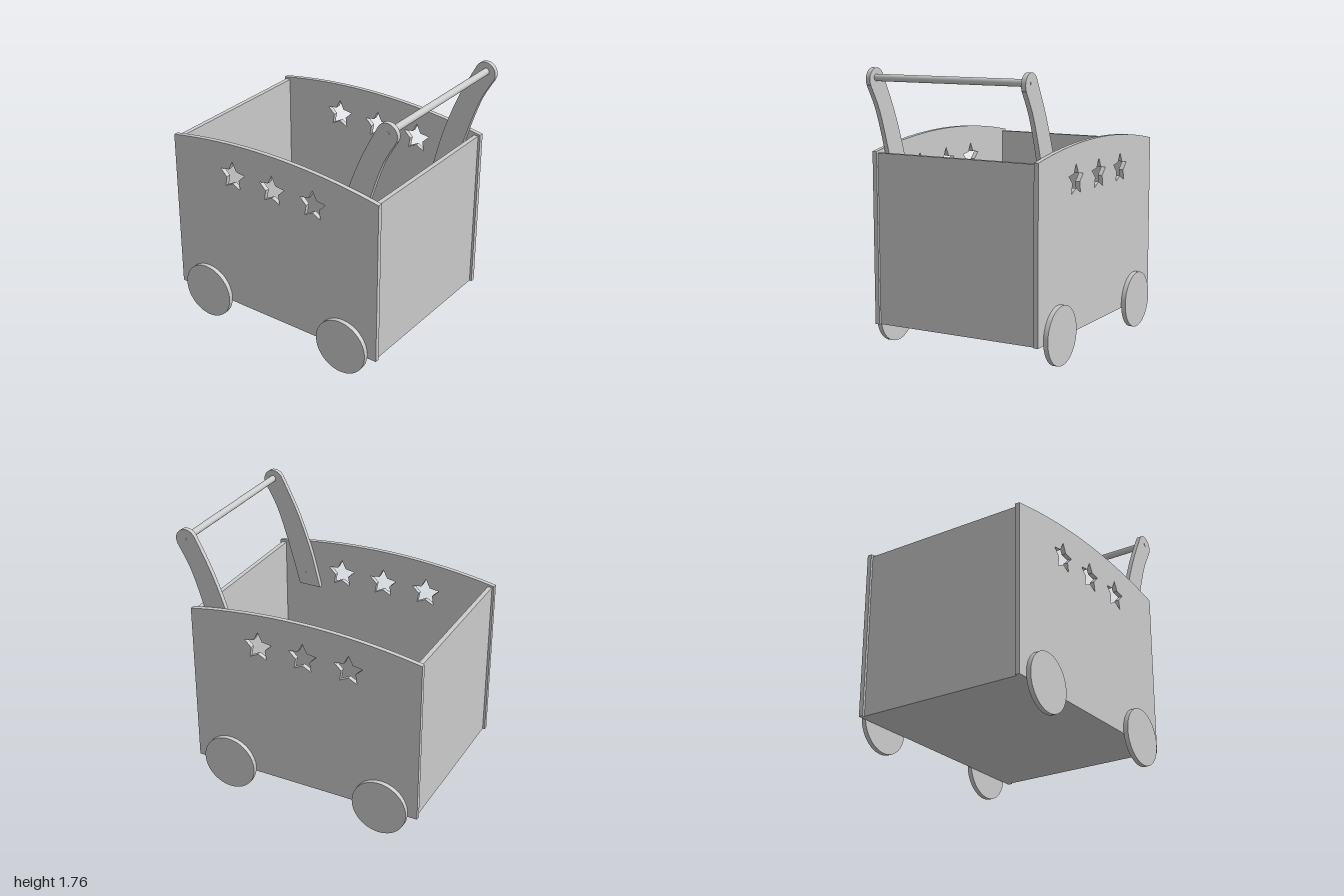
import * as THREE from 'three';
import { toCreasedNormals } from 'three/addons/utils/BufferGeometryUtils.js';

const material = new THREE.MeshStandardMaterial({ color: 0xcccccc });
const T = 0.03;                      // board thickness
const HALF_L = 0.785;                // half length of the side boards
const INNER_W = 0.55;                // half width between the side boards
const BOTTOM = 0.16, END_TOP = 1.24, CORNER = 1.25, CROWN = 1.325;

function add(parent, name, geometry, x = 0, y = 0, z = 0) {
  const mesh = new THREE.Mesh(geometry, material);
  mesh.name = name;
  mesh.position.set(x, y, z);
  parent.add(mesh);
  return mesh;
}

function board(shape) {
  const g = new THREE.ExtrudeGeometry(shape, { depth: T, bevelEnabled: false, curveSegments: 32 });
  return toCreasedNormals(g, 0.5);
}

function starHole(cx, cy, r) {
  const points = [];
  for (let i = 0; i < 10; i++) {
    const a = Math.PI / 2 + i * Math.PI / 5;
    const d = i % 2 ? r * 0.5 : r;
    points.push(new THREE.Vector2(cx + d * Math.cos(a), cy + d * Math.sin(a)));
  }
  return new THREE.Path(points);
}

// Side board: arched top and three star cut-outs
function sideShape() {
  const rise = CROWN - CORNER;
  const radius = (HALF_L ** 2 + rise ** 2) / (2 * rise);
  const half = Math.asin(HALF_L / radius);
  const s = new THREE.Shape();
  s.moveTo(-HALF_L, BOTTOM);
  s.lineTo(HALF_L, BOTTOM);
  s.lineTo(HALF_L, CORNER);
  s.absarc(0, CROWN - radius, radius, Math.PI / 2 - half, Math.PI / 2 + half, false);
  s.closePath();
  for (const x of [-0.31, 0, 0.31]) s.holes.push(starHole(x, 1.095, 0.1));
  return s;
}

// Handle arm: curved strip with a rounded top
function armShape() {
  const v = (x, y) => new THREE.Vector2(x, y);
  const s = new THREE.Shape();
  s.moveTo(0.465, 0.97);
  s.lineTo(0.62, 0.97);
  s.splineThru([v(0.7, 1.25), v(0.785, 1.5), v(0.872, 1.66)]);
  s.absarc(0.81, 1.695, 0.07, -0.5, Math.PI - 0.5, false);
  s.splineThru([v(0.635, 1.5), v(0.537, 1.24), v(0.465, 0.97)]);
  return s;
}

export function createModel() {
  const root = new THREE.Group();
  root.name = 'pushCart';
  const cart = new THREE.Group();
  cart.name = 'cart';
  cart.rotation.y = -THREE.MathUtils.degToRad(25);
  cart.position.set(-0.046, 0, -0.008);
  root.add(cart);

  // Box
  add(cart, 'floor', new THREE.BoxGeometry(2 * (HALF_L - 0.045), T, 2 * INNER_W), 0, BOTTOM + T / 2, 0);
  const endBoard = new THREE.BoxGeometry(T, END_TOP - BOTTOM, 2 * INNER_W);
  for (const s of [-1, 1]) {
    add(cart, s > 0 ? 'handleEndBoard' : 'farEndBoard', endBoard, s * (HALF_L - 0.03), (END_TOP + BOTTOM) / 2, 0);
  }

  const side = board(sideShape());
  const arm = board(armShape());
  const wheel = new THREE.CylinderGeometry(0.185, 0.185, T, 48).rotateX(Math.PI / 2);
  const screw = new THREE.CylinderGeometry(0.011, 0.011, T + 0.004, 16).rotateX(Math.PI / 2);

  for (const s of [-1, 1]) {
    const label = s > 0 ? 'front' : 'back';
    add(cart, label + 'SideBoard', side, 0, 0, s * (INNER_W + T / 2) - T / 2);
    // Wheels against the outer faces
    for (const x of [-0.538, 0.538]) {
      add(cart, label + 'Wheel', wheel, x, 0.185, s * (INNER_W + T * 1.5 + 0.002));
    }
    // Handle arms against the inner faces
    const z = s * (INNER_W - T / 2);
    add(cart, label + 'HandleArm', arm, 0, 0, z - T / 2);
    add(cart, label + 'TopScrew', screw, 0.815, 1.705, z);
    add(cart, label + 'LowerScrew', screw, 0.57, 1.05, z);
  }

  // Grip bar
  const bar = new THREE.CylinderGeometry(0.022, 0.022, 2 * (INNER_W - T), 24).rotateX(Math.PI / 2);
  add(cart, 'gripBar', bar, 0.815, 1.705, 0);

  return root;
}
